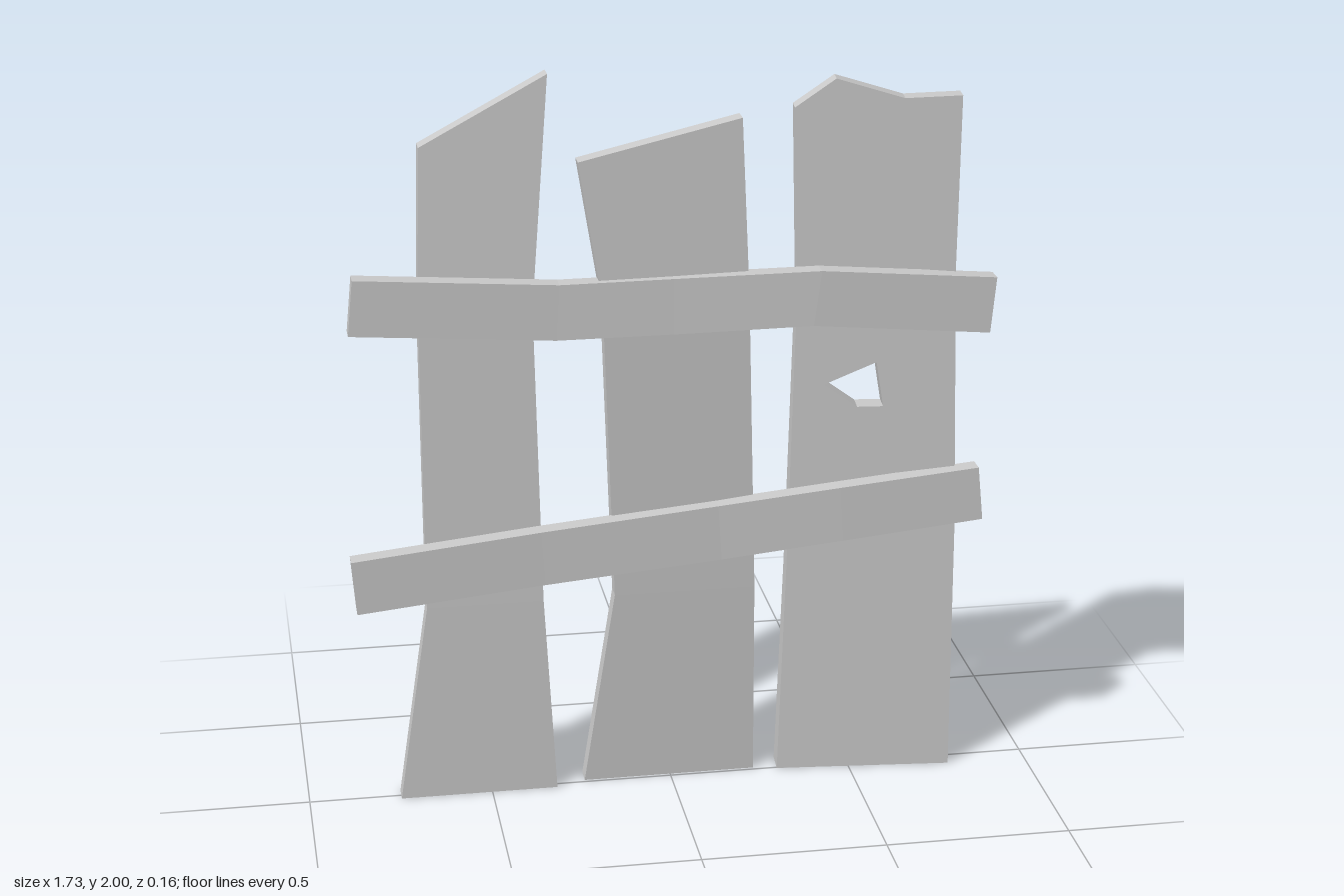
import * as THREE from 'three';

const material = new THREE.MeshStandardMaterial({ color: 0xcccccc, flatShading: true, side: THREE.DoubleSide });

// Board swept through rows of [edge A x, y, edge B x, y, back z]
function board(name, rows, thickness = 0.05) {
  const rings = rows.map(([ax, ay, bx, by, z]) => [
    [ax, ay, z], [bx, by, z], [bx, by, z + thickness], [ax, ay, z + thickness],
  ]);
  const pos = [];
  const quad = (a, b, c, d) => pos.push(...a, ...b, ...c, ...a, ...c, ...d);
  for (let i = 0; i < rings.length - 1; i++) {
    for (let j = 0; j < 4; j++) {
      const k = (j + 1) % 4;
      quad(rings[i][j], rings[i + 1][j], rings[i + 1][k], rings[i][k]);
    }
  }
  quad(...rings[0]);
  quad(...[...rings[rings.length - 1]].reverse());
  const geo = new THREE.BufferGeometry();
  geo.setAttribute('position', new THREE.Float32BufferAttribute(pos, 3));
  geo.computeVertexNormals();
  const mesh = new THREE.Mesh(geo, material);
  mesh.name = name;
  return mesh;
}

// Turned plank with a jagged top and a knot hole
function holedPlank() {
  const points = (list) => list.map(([x, y]) => new THREE.Vector2(x, y));
  const shape = new THREE.Shape(points([
    [0.305, 0], [0.785, 0], [0.783, 0.7], [0.765, 1.45], [0.77, 1.915],
    [0.62, 1.91], [0.44, 1.965], [0.333, 1.89], [0.345, 1.4], [0.325, 0.6],
  ]));
  shape.holes.push(new THREE.Path(points([[0.42, 1.13], [0.56, 1.19], [0.58, 1.065], [0.51, 1.065]])));
  const geo = new THREE.ExtrudeGeometry(shape, { depth: 1, bevelEnabled: false });
  const p = geo.attributes.position;
  for (let i = 0; i < p.count; i++) {
    const x = p.getX(i), y = p.getY(i), front = p.getZ(i);
    const thickness = 0.07 - 0.01 * y;
    p.setZ(i, -0.065 + (x - 0.31) * 0.095 + front * thickness);
    p.setX(i, x - front * 0.005);
  }
  geo.computeVertexNormals();
  const mesh = new THREE.Mesh(geo, material);
  mesh.name = 'rightPlank';
  return mesh;
}

export function createModel() {
  const fence = new THREE.Group();
  fence.name = 'fence';

  // Upright planks, rows from the ground up
  fence.add(board('leftPlank', [
    [-0.75, 0, -0.32, 0, -0.03],
    [-0.665, 0.56, -0.35, 0.56, -0.035],
    [-0.665, 1.38, -0.365, 1.38, -0.055],
    [-0.65, 1.82, -0.315, 2.0, -0.08],
  ]));
  fence.add(board('middlePlank', [
    [-0.24, 0, 0.235, 0, -0.06],
    [-0.155, 0.56, 0.23, 0.56, -0.04],
    [-0.185, 1.4, 0.205, 1.4, -0.02],
    [-0.245, 1.777, 0.185, 1.877, -0.03],
  ]));
  fence.add(holedPlank());

  // Cross rails, rows from left to right
  fence.add(board('upperRail', [
    [-0.835, 1.495, -0.85, 1.345, -0.01],
    [-0.3, 1.458, -0.31, 1.307, -0.005],
    [0, 1.462, 0, 1.31, 0.003],
    [0.39, 1.47, 0.37, 1.32, 0.023],
    [0.862, 1.43, 0.848, 1.277, 0.027],
  ]));
  fence.add(board('lowerRail', [
    [-0.867, 0.73, -0.855, 0.58, 0.027],
    [-0.36, 0.777, -0.35, 0.625, 0.012],
    [0.12, 0.82, 0.13, 0.665, 0.008],
    [0.45, 0.857, 0.46, 0.703, 0.022],
    [0.83, 0.895, 0.845, 0.745, 0.03],
  ]));

  return fence;
}
